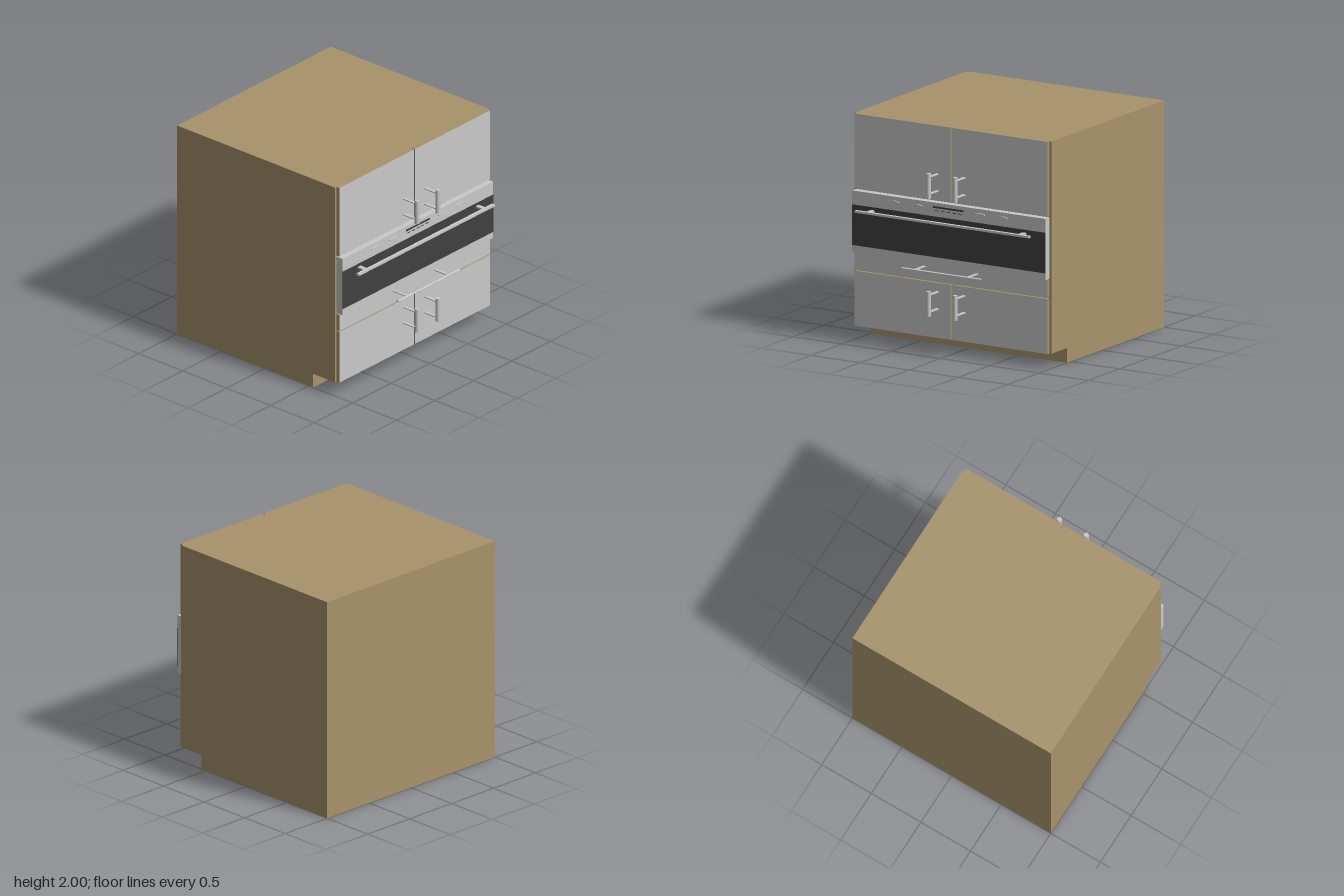
import * as THREE from 'three';

export function createModel() {
  const model = new THREE.Group();
  model.name = 'ovenCabinet';
  const mat = (name, color) => {
    const m = new THREE.MeshStandardMaterial({ color });
    m.name = name;
    return m;
  };
  const wood = mat('wood', 0xa8936b);
  const grey = mat('lightGrey', 0xc9c9c9);
  const dark = mat('darkGlass', 0x404040);

  const add = (name, geo, material, x, y, z) => {
    const mesh = new THREE.Mesh(geo, material);
    mesh.name = name;
    mesh.position.set(x, y, z);
    model.add(mesh);
    return mesh;
  };
  // box given by its limits on each axis
  const box = (name, material, x0, x1, y0, y1, z0, z1) =>
    add(name, new THREE.BoxGeometry(x1 - x0, y1 - y0, z1 - z0), material,
      (x0 + x1) / 2, (y0 + y1) / 2, (z0 + z1) / 2);
  // wooden panel with a grey front face
  const fronted = [wood, wood, wood, wood, grey, wood];
  const panel = (name, x0, x1, y0, y1) => box(name, fronted, x0, x1, y0, y1, 0.8, 0.83);

  // carcass: side profile with a recessed toe kick, extruded across the width
  const profile = new THREE.Shape([
    [-0.55, 0], [1, 0], [1, 2], [-0.8, 2], [-0.8, 0.13], [-0.55, 0.13],
  ].map(([x, y]) => new THREE.Vector2(x, y)));
  const carcass = new THREE.ExtrudeGeometry(profile, { depth: 2, bevelEnabled: false });
  carcass.translate(0, 0, -1).rotateY(Math.PI / 2);
  add('carcass', carcass, wood, 0, 0, 0);

  // doors with upright round handles on two flat stems
  for (const s of [-1, 1]) {
    const [x0, x1] = s < 0 ? [-0.98, -0.005] : [0.005, 0.98];
    for (const [row, y0, y1, hy] of [['lower', 0.13, 0.615, 0.46], ['upper', 1.34, 2, 1.5]]) {
      panel(row + 'Door', x0, x1, y0, y1);
      const x = s * 0.135;
      add(row + 'DoorHandle', new THREE.CylinderGeometry(0.021, 0.021, 0.22, 16), grey, x, hy, 0.978);
      for (const dy of [-0.073, 0.077])
        box(row + 'HandleStem', grey, x - 0.014, x + 0.014, hy + dy - 0.004, hy + dy + 0.004, 0.83, 0.97);
    }
  }

  // drawer and its slim bar handle
  panel('drawer', -0.98, 0.98, 0.625, 0.78);
  const bar = add('drawerHandle', new THREE.CylinderGeometry(0.006, 0.006, 0.8, 12), grey, 0, 0.745, 0.985);
  bar.rotation.z = Math.PI / 2;
  bar.scale.z = 2.4;
  for (const x of [-0.27, 0.265])
    box('drawerHandleStem', grey, x - 0.013, x + 0.013, 0.741, 0.749, 0.83, 0.98);

  // oven body, glass and control strip
  box('ovenBody', grey, -0.98, 0.98, 0.79, 1.33, 0.8, 0.868);
  box('ovenGlass', dark, -0.98, 0.98, 0.85, 1.208, 0.868, 0.871);
  box('display', dark, -0.155, 0.15, 1.283, 1.298, 0.868, 0.872);
  for (const x of [-0.12, -0.06, 0, 0.055, 0.115])
    box('button', dark, x - 0.018, x + 0.018, 1.258, 1.264, 0.868, 0.872);

  // oven handle
  box('ovenHandle', grey, -0.89, 0.88, 1.166, 1.185, 0.945, 0.975);
  for (const x of [-0.77, 0.77])
    box('ovenHandleStem', grey, x - 0.02, x + 0.02, 1.168, 1.183, 0.868, 0.947);

  // low oval control knobs
  for (const x of [-0.555, -0.32, 0.315, 0.55]) {
    const knob = add('knob', new THREE.CylinderGeometry(0.055, 0.055, 0.012, 24), grey, x, 1.28, 0.873);
    knob.rotation.x = Math.PI / 2;
    knob.scale.z = 0.28;
  }
  return model;
}
